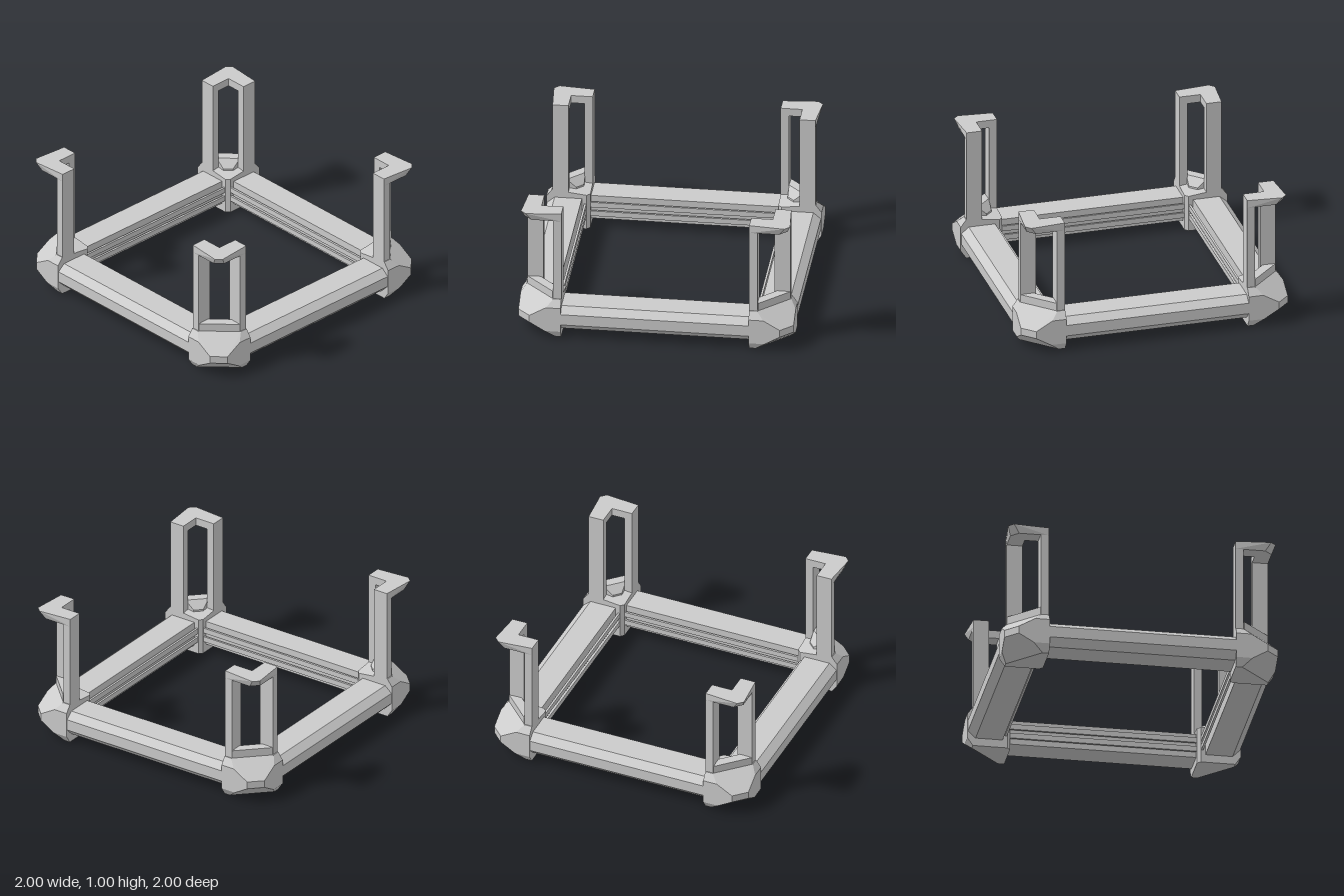
import * as THREE from 'three';
import { ConvexGeometry } from 'three/addons/geometries/ConvexGeometry.js';

const material = new THREE.MeshStandardMaterial({ color: 0xcccccc, flatShading: true });
const INNER = 0.683; // inner limit of the corner pieces

function mesh(name, geometry) {
  const m = new THREE.Mesh(geometry, material);
  m.name = name;
  return m;
}

// Convex solid from [x, y, z] corners; swap mirrors it across the corner diagonal.
function solid(name, points, swap = false) {
  const corners = points.map(([x, y, z]) => (swap ? new THREE.Vector3(z, y, x) : new THREE.Vector3(x, y, z)));
  return mesh(name, new ConvexGeometry(corners));
}

function box(name, x0, x1, y0, y1, z0, z1) {
  const g = new THREE.BoxGeometry(x1 - x0, y1 - y0, z1 - z0);
  g.translate((x0 + x1) / 2, (y0 + y1) / 2, (z0 + z1) / 2);
  return mesh(name, g);
}

// Faceted block: each level has a height, an outer extent and a diagonal cut x + z = d.
function cornerBlock() {
  const levels = [
    [0, 0.96, 1.69], [0.06, 1, 1.8], [0.125, 1, 1.91],
    [0.18, 1, 1.91], [0.25, 1, 1.79], [0.305, 0.96, 1.7],
  ];
  const points = [];
  levels.forEach(([y, e, d], i) => {
    const innerY = i === levels.length - 1 ? 0.275 : y;
    points.push([e, y, INNER], [e, y, d - e], [d - e, y, e], [INNER, y, e]);
    points.push([INNER + 0.025, innerY, INNER], [INNER, innerY, INNER + 0.025]);
  });
  return solid('cornerBlock', points);
}

function createCorner() {
  const corner = new THREE.Group();
  corner.add(cornerBlock());

  // Diagonal lip between the two posts, sloping down on the inside
  const lip = [];
  for (const [a, b, y] of [
    [0.745, 0.955, 0.29], [0.745, 0.955, 0.365], [0.74, 0.86, 0.365],
    [0.74, 0.79, 0.305], [0.74, 0.79, 0.28],
  ]) lip.push([a, y, b], [b, y, a]);
  corner.add(solid('lip', lip));

  // Half of the L-shaped top bracket, flared at the outer tip
  const top = [[0.84, INNER], [0.955, INNER], [0.978, 0.94], [0.959, 0.959], [0.84, 0.84]];
  const bottom = [[0.84, INNER], [0.955, INNER], [0.955, 0.9], [0.9275, 0.9275], [0.84, 0.84]];
  const bracket = [...top.map(([x, z]) => [x, 1, z]), ...bottom.map(([x, z]) => [x, 0.94, z])];
  for (const swap of [false, true]) corner.add(solid('topBracket', bracket, swap));

  // Two posts
  corner.add(box('post', 0.84, 0.955, 0.24, 0.94, INNER, 0.742));
  corner.add(box('post', INNER, 0.742, 0.24, 0.94, 0.84, 0.955));
  return corner;
}

function createSide() {
  const side = new THREE.Group();

  // Rail with bevelled outer face, profile in (z, y)
  const profile = [[0.742, 0.06], [0.94, 0.06], [0.995, 0.115], [0.995, 0.198], [0.94, 0.245], [0.742, 0.245]];
  const shape = new THREE.Shape(profile.map(([z, y]) => new THREE.Vector2(z, y)));
  const length = 2 * INNER + 0.02;
  const g = new THREE.ExtrudeGeometry(shape, { depth: length, bevelEnabled: false });
  g.translate(0, 0, -length / 2);
  g.rotateY(-Math.PI / 2);
  side.add(mesh('rail', g));

  // Thin strips running along the inside of the rail
  for (const y of [0.095, 0.165]) {
    side.add(box('innerStrip', -INNER - 0.01, INNER + 0.01, y, y + 0.04, 0.71, 0.726));
  }
  return side;
}

export function createModel() {
  const model = new THREE.Group();
  model.name = 'cornerPostFrame';
  for (let i = 0; i < 4; i++) {
    const corner = createCorner();
    corner.name = 'corner' + (i + 1);
    const side = createSide();
    side.name = 'side' + (i + 1);
    corner.rotation.y = side.rotation.y = (i * Math.PI) / 2;
    model.add(corner, side);
  }
  return model;
}
